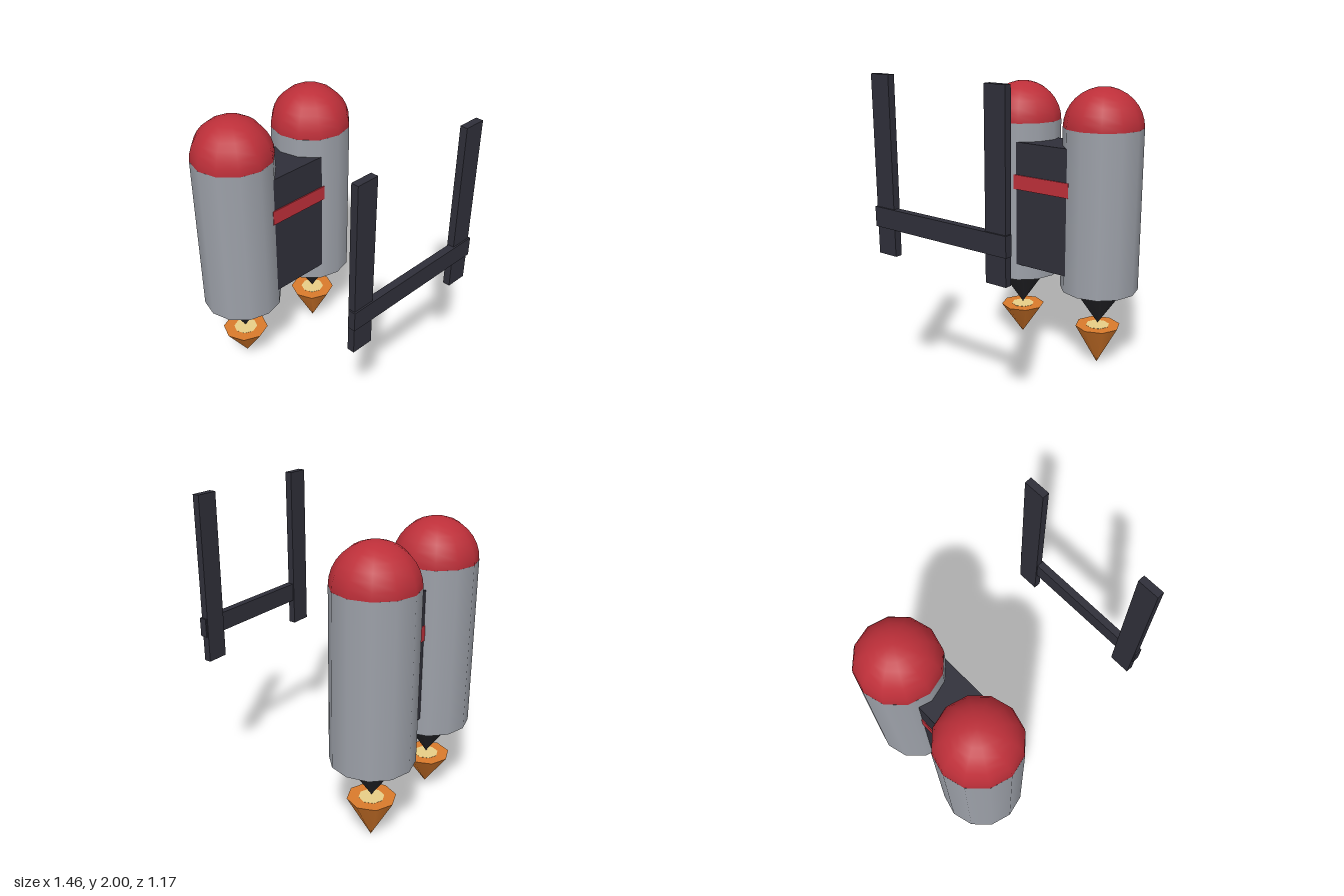
import * as THREE from 'three';

export function createModel() {
  const model = new THREE.Group();
  model.name = 'jetpack';

  const paint = (name, color) => {
    const m = new THREE.MeshStandardMaterial({ color });
    m.name = name;
    return m;
  };
  const steel = paint('steel grey', 0x9ca0a8);
  const red = paint('red', 0xbd2f39);
  const charcoal = paint('charcoal', 0x2f2f39);
  const black = paint('nozzle black', 0x27272b);
  const orange = paint('flame orange', 0xd97a2b);
  const yellow = paint('flame core yellow', 0xf2d78c);

  const add = (name, geometry, material, x, y, z) => {
    const mesh = new THREE.Mesh(geometry, material);
    mesh.name = name;
    mesh.position.set(x, y, z);
    model.add(mesh);
    return mesh;
  };
  // Box given by its low and high limits on each axis
  const box = (name, material, [x0, x1], [y0, y1], [z0, z1]) =>
    add(name, new THREE.BoxGeometry(x1 - x0, y1 - y0, z1 - z0), material,
      (x0 + x1) / 2, (y0 + y1) / 2, (z0 + z1) / 2);
  // Cone pointing down from its flat top
  const downCone = (name, material, radius, top, tip, sides, x, z) =>
    add(name, new THREE.CylinderGeometry(radius, 0, top - tip, sides).rotateY(Math.PI / 2),
      material, x, (top + tip) / 2, z);

  const tankX = -0.47;
  for (const side of [1, -1]) {
    const label = side > 0 ? 'front' : 'rear';
    const z = side * 0.323;

    // Tank with domed cap
    add(label + 'Tank', new THREE.CylinderGeometry(0.26, 0.26, 1.08, 12), steel, tankX, 1.085, z);
    add(label + 'Dome', new THREE.SphereGeometry(0.26, 12, 8, 0, Math.PI * 2, 0, Math.PI / 2),
      red, tankX, 1.622, z);

    // Nozzle and flame; the front flame is a little shorter
    downCone(label + 'Nozzle', black, 0.174, 0.545, 0.29, 10, tankX, z);
    downCone(label + 'Flame', orange, 0.153, 0.275, side > 0 ? 0.058 : 0, 8, tankX, z);
    downCone(label + 'FlameCore', yellow, 0.08, 0.277, 0.16, 8, tankX, z);

    // Shoulder strap
    box(label + 'ShoulderStrap', charcoal, [0.674, 0.72], [0.93, 2],
      side > 0 ? [0.353, 0.493] : [-0.493, -0.353]);
  }

  // Back panel between the tanks, with its red band
  box('backPanel', charcoal, [-0.55, -0.242], [0.66, 1.505], [-0.205, 0.205]);
  box('panelBand', red, [-0.556, -0.234], [1.188, 1.286], [-0.221, 0.221]);

  // Belt joining the straps
  box('belt', charcoal, [0.682, 0.73], [1.098, 1.22], [-0.502, 0.502]);

  return model;
}
